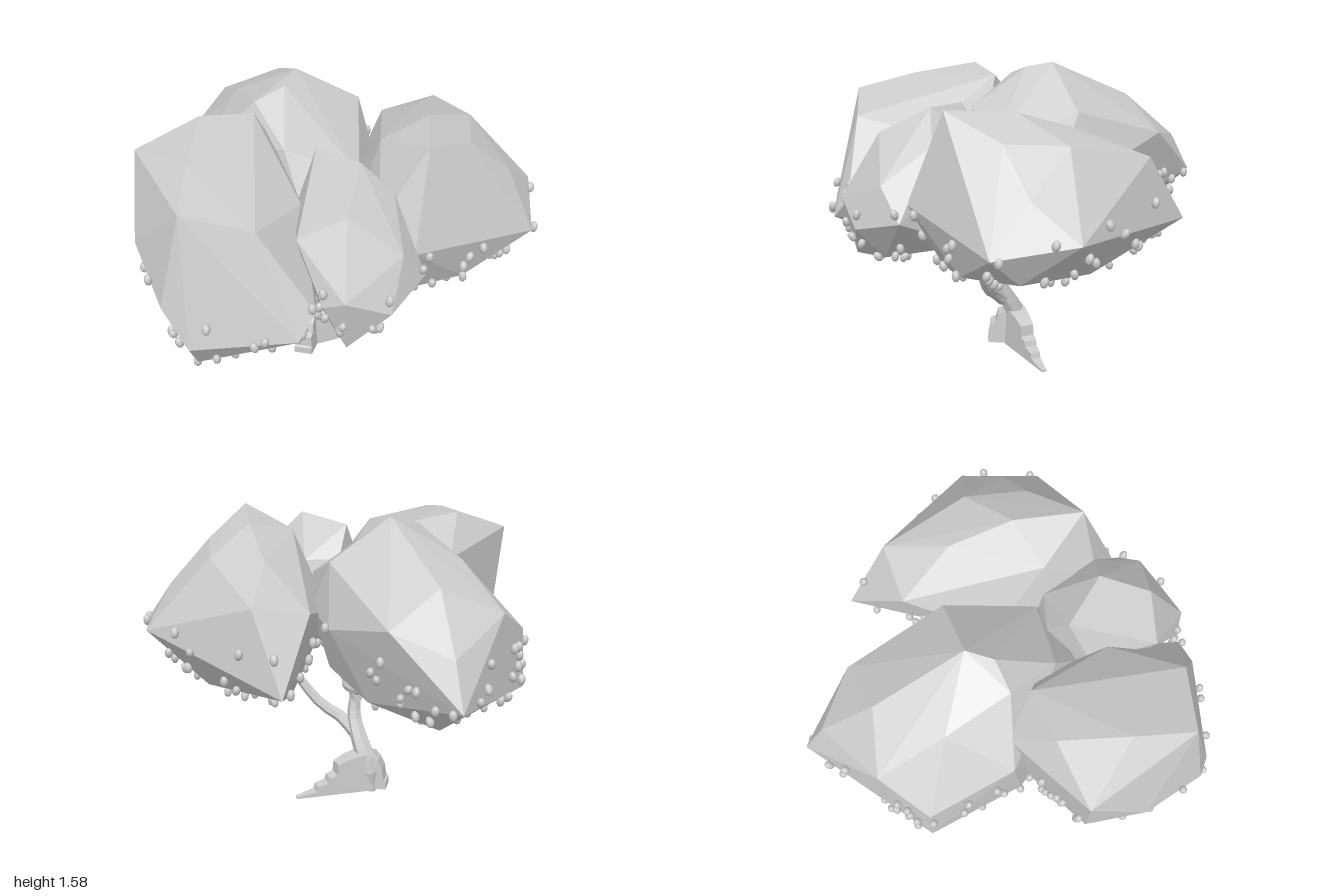
import * as THREE from 'three';
import { ConvexGeometry } from 'three/addons/geometries/ConvexGeometry.js';

const grey = new THREE.MeshStandardMaterial({ color: 0xcccccc, flatShading: true });
const smooth = new THREE.MeshStandardMaterial({ color: 0xcccccc });
const V = (p) => new THREE.Vector3(...p);

// Corner points of each faceted foliage clump
const CLUMPS = {
  backRightFoliage: [
    [-0.24, 1.57, -0.19], [-0.44, 0.9, -1], [-0.42, 1.11, -0.89], [-0.4, 1.35, -0.62], [-0.88, 0.76, -0.41],
    [-0.86, 1.06, -0.4], [-0.7, 1.22, -0.62], [-0.57, 1.38, -0.3], [-0.7, 1.2, 0], [-0.42, 1.48, 0],
    [-0.28, 1.54, -0.06], [-0.25, 1.35, 0.22], [0.08, 1.1, -0.43], [0.14, 1.13, -0.2], [0.1, 1.2, 0.16],
    [0.06, 1.38, -0.28], [0.06, 0.85, -0.28], [-0.1, 0.76, 0.22], [-0.1, 0.75, -0.5], [-0.39, 0.72, -0.77],
    [-0.68, 0.74, -0.35], [-0.67, 0.74, 0.04], [0.02, 1.1, 0.26], [-0.17, 1.15, 0.33], [-0.15, 1.2, -0.75],
    [-0.45, 0.8, 0.22],
  ],
  leftFoliage: [
    [0.43, 1.51, 0.4], [0.42, 1.49, 0.07], [0.36, 1.38, -0.24], [0.44, 1.26, -0.56], [0.17, 1.2, -0.48],
    [0.32, 0.9, -0.77], [0.94, 1.03, -0.16], [0.94, 0.98, 0.24], [0.62, 1.4, 0.15], [0.82, 1.2, 0.05],
    [0.39, 1.05, 0.58], [0.2, 1.42, 0.2], [0.04, 1.05, -0.05], [0.07, 0.95, 0.3], [0.85, 0.82, 0.1],
    [0.65, 0.77, -0.25], [0.4, 0.74, 0.42], [0.25, 0.74, -0.35], [0.15, 0.74, 0.15], [0.62, 0.77, 0.35],
    [0.62, 1.38, -0.15], [0.22, 1.15, 0.48], [0.3, 1, 0.56],
  ],
  frontRightFoliage: [
    [-0.65, 1.49, 0.18], [-0.64, 1.44, 0.52], [-0.41, 1.47, 0.09], [-0.94, 1.37, 0.31], [-0.62, 1.37, 0.82],
    [-0.29, 1.3, 0.82], [-0.58, 1.3, -0.02], [-0.33, 1.36, 0.12], [-0.14, 1.23, 0.48], [-0.9, 1.05, 0.6],
    [-0.72, 0.92, 0.9], [-0.59, 0.75, 0.98], [-0.1, 0.82, 0.96], [-0.03, 0.93, 0.88], [-0.59, 0.57, 0.86],
    [-0.76, 0.67, 0.6], [-0.9, 0.84, 0.33], [-0.6, 0.76, 0.06], [-0.2, 0.78, 0.2], [-0.07, 0.78, 0.6],
    [-0.4, 0.66, 0.6], [-0.1, 1.0, 0.4], [-0.2, 1.1, 0.2],
  ],
  frontLeftFoliage: [
    [0.13, 1.445, 0.45], [-0.09, 1.41, 0.29], [0.14, 1.25, 0.2], [-0.04, 1.25, 0.2], [0.28, 1.3, 0.45],
    [0.09, 1.32, 0.7], [-0.13, 1.2, 0.72], [-0.18, 1.15, 0.4], [0.44, 0.97, 0.62], [0.34, 1.13, 0.7],
    [0.3, 0.9, 0.83], [0.1, 1.0, 0.9], [0, 0.95, 0.87], [0.21, 0.71, 0.7], [0.1, 0.7, 0.84],
    [-0.08, 0.8, 0.6], [-0.1, 0.75, 0.28], [0.22, 0.76, 0.28], [0.05, 0.9, 0.1],
  ],
};

// Tapered limb along a smooth path
function limb(name, points, r0, r1, segments = 10, sides = 7) {
  const path = new THREE.CatmullRomCurve3(points.map(V));
  const geo = new THREE.TubeGeometry(path, segments, 1, sides);
  const pos = geo.attributes.position, v = new THREE.Vector3();
  for (let i = 0; i < pos.count; i++) {
    const t = Math.floor(i / (sides + 1)) / segments, c = path.getPointAt(t);
    v.fromBufferAttribute(pos, i).sub(c).multiplyScalar(r0 + (r1 - r0) * Math.pow(t, 0.7)).add(c);
    pos.setXYZ(i, v.x, v.y, v.z);
  }
  const mesh = new THREE.Mesh(geo, grey);
  mesh.name = name;
  return mesh;
}

// Stepped buttress root: an upright profile that thins towards its tip
function buttress(name, from, to, profile, wide, thin) {
  const len = Math.hypot(to[0] - from[0], to[1] - from[1]);
  const shape = new THREE.Shape(profile.map(([u, y]) => new THREE.Vector2(u * len, y)));
  const geo = new THREE.ExtrudeGeometry(shape, { depth: 1, bevelEnabled: false });
  geo.translate(0, 0, -0.5);
  const pos = geo.attributes.position;
  for (let i = 0; i < pos.count; i++) {
    pos.setZ(i, pos.getZ(i) * THREE.MathUtils.lerp(wide, thin, pos.getX(i) / len) * (1 - pos.getY(i)));
  }
  geo.computeVertexNormals();
  const mesh = new THREE.Mesh(geo, grey);
  mesh.name = name;
  mesh.position.set(from[0], 0, from[1]);
  mesh.rotation.y = -Math.atan2(to[1] - from[1], to[0] - from[0]);
  return mesh;
}

// Triangles of a hull with their planes
function hullFaces(geo) {
  const pos = geo.attributes.position, faces = [];
  for (let i = 0; i < pos.count; i += 3) {
    const tri = new THREE.Triangle();
    tri.setFromAttributeAndIndices(pos, i, i + 1, i + 2);
    faces.push({ tri, area: tri.getArea(), plane: tri.getPlane(new THREE.Plane()) });
  }
  return faces;
}

export function createModel() {
  const tree = new THREE.Group();
  tree.name = 'tree';
  let seed = 17;
  const rand = () => (seed = (seed * 16807) % 2147483647) / 2147483647;

  // Foliage clumps
  const hulls = [];
  for (const [name, points] of Object.entries(CLUMPS)) {
    const mesh = new THREE.Mesh(new ConvexGeometry(points.map(V)), grey);
    mesh.name = name;
    tree.add(mesh);
    hulls.push(hullFaces(mesh.geometry));
  }

  // Fruit scattered over the lower, exposed foliage
  const fruits = new THREE.Group();
  fruits.name = 'fruits';
  const fruitGeo = new THREE.SphereGeometry(0.02, 8, 6).scale(1, 1.4, 1);
  const counts = [65, 60, 50, 30];
  hulls.forEach((faces, h) => {
    const total = faces.reduce((s, f) => s + f.area, 0);
    let placed = 0;
    for (let tries = 0; placed < counts[h] && tries < 4000; tries++) {
      let pick = rand() * total;
      const face = faces.find((f) => (pick -= f.area) <= 0) || faces[0];
      let a = rand(), b = rand();
      if (a + b > 1) { a = 1 - a; b = 1 - b; }
      const { tri, plane } = face;
      const p = tri.a.clone().multiplyScalar(1 - a - b).addScaledVector(tri.b, a).addScaledVector(tri.c, b);
      if (p.y > 0.82 + 0.3 * rand()) continue;
      const buried = hulls.some((other, k) => k !== h && other.every((f) => f.plane.distanceToPoint(p) < 0));
      if (buried) continue;
      const fruit = new THREE.Mesh(fruitGeo, smooth);
      fruit.name = 'fruit';
      fruit.position.copy(p).addScaledVector(plane.normal, 0.015);
      fruit.rotation.set(rand() * 0.8 - 0.4, rand() * 6, rand() * 0.8 - 0.4);
      fruits.add(fruit);
      placed++;
    }
  });
  tree.add(fruits);

  // Trunk and branches
  tree.add(
    limb('trunk', [[-0.19, 0.01, 0.03], [-0.18, 0.14, 0.0], [-0.14, 0.27, 0.05], [-0.115, 0.4, 0.11], [-0.13, 0.54, 0.13]], 0.075, 0.03),
    limb('leftBranch', [[-0.13, 0.29, 0.08], [-0.05, 0.37, 0.14], [0.06, 0.44, 0.18], [0.19, 0.6, 0.22], [0.26, 0.68, 0.24], [0.36, 0.78, 0.24]], 0.042, 0.018),
    limb('frontRightBranch', [[-0.13, 0.48, 0.12], [-0.15, 0.57, 0.17], [-0.21, 0.64, 0.28], [-0.29, 0.74, 0.38]], 0.03, 0.018),
    limb('backBranch', [[-0.13, 0.48, 0.12], [-0.1, 0.57, 0.11], [-0.06, 0.63, 0.02], [-0.06, 0.66, -0.12], [-0.1, 0.7, -0.25], [-0.15, 0.8, -0.34]], 0.033, 0.018),
    limb('frontLeftBranch', [[-0.12, 0.52, 0.13], [-0.07, 0.59, 0.2], [-0.06, 0.68, 0.29], [-0.03, 0.8, 0.36]], 0.028, 0.016),
  );

  // Buttress roots
  tree.add(
    buttress('longRoot', [-0.18, 0.02], [0.22, -0.1],
      [[0, 0.005], [1, 0.015], [1, 0.025], [0.74, 0.04], [0.72, 0.07], [0.58, 0.08], [0.56, 0.11], [0.46, 0.12], [0.45, 0.18], [0.3, 0.205], [0.1, 0.22], [0, 0.2]], 0.14, 0.025),
    buttress('frontRoot', [-0.18, 0.0], [-0.2, 0.16],
      [[0, 0.01], [1, 0.01], [1, 0.05], [0.96, 0.06], [0.94, 0.12], [0.75, 0.13], [0.65, 0.18], [0.4, 0.2], [0, 0.22]], 0.13, 0.1),
    buttress('rightRoot', [-0.17, 0.03], [-0.285, -0.01],
      [[0, 0.01], [1, 0.01], [1, 0.05], [0.9, 0.06], [0.8, 0.13], [0.6, 0.18], [0, 0.22]], 0.13, 0.09),
  );
  return tree;
}
